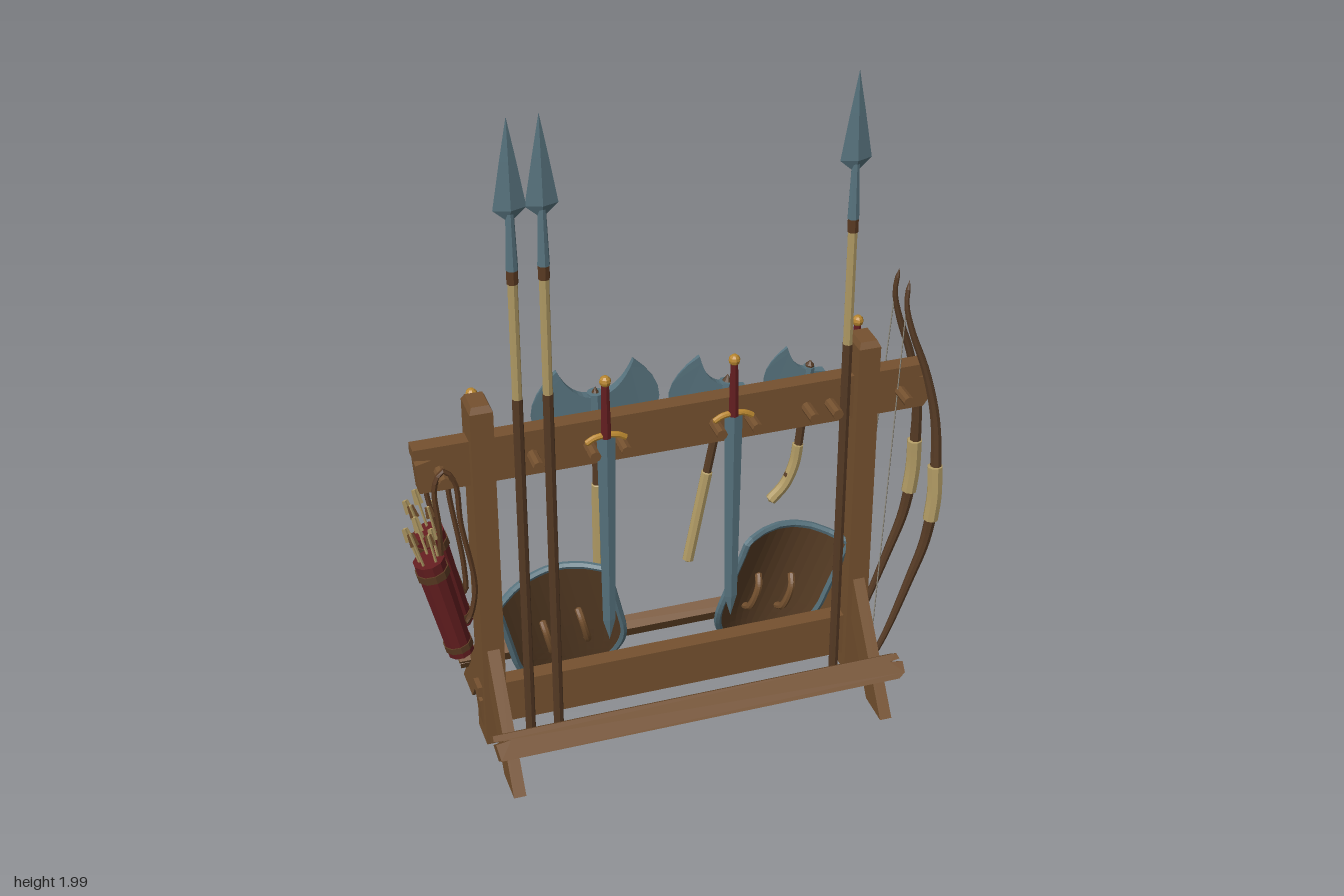
import * as THREE from 'three';
import { ParametricGeometry } from 'three/addons/geometries/ParametricGeometry.js';

const V = (x, y, z = 0) => new THREE.Vector3(x, y, z);
const mat = (color, side = THREE.FrontSide) => new THREE.MeshStandardMaterial({ color, flatShading: true, side });
const M = {
  wood: mat(0x75512f), darkWood: mat(0x553a24), cream: mat(0xb09a64), steel: mat(0x58747f),
  red: mat(0x641e20), gold: mat(0xb8862f), leather: mat(0x5a3a22), thin: mat(0x8a8578),
  shieldBack: mat(0x1f4150, THREE.DoubleSide), shieldIn: mat(0x5c4027, THREE.DoubleSide),
  stripe: mat(0x587480, THREE.DoubleSide),
};

function add(parent, name, geo, material, pos = [0, 0, 0]) {
  const m = new THREE.Mesh(geo, material);
  m.name = name;
  m.position.set(...pos);
  parent.add(m);
  return m;
}
function sub(parent, name, x = 0, y = 0, z = 0) {
  const g = new THREE.Group();
  g.name = name;
  g.position.set(x, y, z);
  parent.add(g);
  return g;
}

// Straight rod between two points
function rod(parent, name, a, b, r0, r1, material, sides = 8) {
  const m = add(parent, name, new THREE.CylinderGeometry(r1, r0, a.distanceTo(b), sides), material);
  m.position.copy(a).add(b).multiplyScalar(0.5);
  m.quaternion.setFromUnitVectors(V(0, 1, 0), b.clone().sub(a).normalize());
  return m;
}

// Curved rod with closed ends and optional taper along its length
function bent(parent, name, pts, r, material, taper = () => 1, seg = 28, sides = 8) {
  const curve = new THREE.CatmullRomCurve3(pts);
  const geo = new THREE.TubeGeometry(curve, seg, r, sides);
  const p = geo.attributes.position, v = V(0, 0, 0);
  for (let i = 0; i < p.count; i++) {
    const ring = Math.floor(i / (sides + 1)), c = curve.getPointAt(ring / seg);
    const k = ring === 0 || ring === seg ? 0 : taper(ring / seg);
    v.fromBufferAttribute(p, i).sub(c).multiplyScalar(k).add(c);
    p.setXYZ(i, v.x, v.y, v.z);
  }
  return add(parent, name, geo, material);
}

// Long plank with splintered ends
function plank(parent, name, x0, x1, h, d, pos) {
  const s = new THREE.Shape(), t = h / 2;
  [[x0 + 0.012, -t], [x1 - 0.02, -t], [x1, -t * 0.6], [x1, t * 0.3], [x1 - 0.04, t * 0.42], [x1 - 0.008, t * 0.55],
    [x1 - 0.015, t], [x0, t], [x0, t * 0.55], [x0 + 0.05, t * 0.45], [x0 + 0.005, t * 0.3]]
    .forEach(([x, y], i) => (i ? s.lineTo(x, y) : s.moveTo(x, y)));
  const geo = new THREE.ExtrudeGeometry(s, { depth: d, bevelEnabled: false });
  geo.translate(0, 0, -d / 2);
  return add(parent, name, geo, M.wood, pos);
}

// Four-sided blade with a diamond cross-section
function blade(parent, name, pts, flat) {
  const geo = new THREE.LatheGeometry(pts.map(p => new THREE.Vector2(...p)), 4);
  geo.scale(1, 1, flat);
  return add(parent, name, geo, M.steel);
}

function spear(parent, x) {
  const g = sub(parent, 'spear', x, 0, 0.037);
  rod(g, 'lowerShaft', V(0, 0.03), V(0, 1.18), 0.015, 0.015, M.darkWood);
  rod(g, 'upperShaft', V(0, 1.18), V(0, 1.54), 0.014, 0.014, M.cream);
  rod(g, 'binding', V(0, 1.53), V(0, 1.57), 0.016, 0.016, M.leather);
  rod(g, 'socket', V(0, 1.57), V(0, 1.74), 0.017, 0.011, M.steel);
  blade(g, 'spearHead', [[0, 1.71], [0.012, 1.715], [0.045, 1.745], [0.022, 1.88], [0, 2]], 0.35);
}

// Hanging sword: origin at the guard, blade pointing down
function sword(parent, name, x, y, z, len) {
  const g = sub(parent, name, x, y, z);
  blade(g, 'blade', [[0, -len], [0.019, -len + 0.07], [0.027, 0], [0, 0]], 0.3);
  bent(g, 'guard', [V(-0.06, -0.012), V(-0.03, 0.004), V(0.03, 0.004), V(0.06, -0.012)], 0.009, M.gold);
  rod(g, 'grip', V(0, 0), V(0, 0.165), 0.015, 0.011, M.red);
  add(g, 'pommel', new THREE.SphereGeometry(0.017, 8, 6), M.gold, [0, 0.178, 0]);
}

// Fan-shaped axe blade thinning to its edge; dir chooses the side
function axeBlade(parent, dir) {
  const s = new THREE.Shape();
  s.moveTo(0.005, 0.035);
  s.quadraticCurveTo(0.07, 0.035, 0.11, 0.13);
  s.quadraticCurveTo(0.26, 0, 0.11, -0.13);
  s.quadraticCurveTo(0.07, -0.035, 0.005, -0.035);
  const geo = new THREE.ExtrudeGeometry(s, { depth: 0.036, bevelEnabled: false, curveSegments: 8 });
  geo.translate(0, 0, -0.018);
  const p = geo.attributes.position;
  for (let i = 0; i < p.count; i++) p.setZ(i, p.getZ(i) * (1 - 0.9 * Math.min(1, p.getX(i) / 0.17)));
  const m = add(parent, 'axeBlade', geo, M.steel);
  if (dir < 0) m.rotation.y = Math.PI;
}

function axe(parent, x, y, tilt, size, double, path, grip) {
  const g = sub(parent, 'axe', x, y, -0.055);
  g.rotation.z = tilt;
  const head = sub(g, 'axeHead');
  head.scale.setScalar(size);
  axeBlade(head, -1);
  if (double) axeBlade(head, 1);
  else add(head, 'poll', new THREE.BoxGeometry(0.06, 0.055, 0.034), M.steel, [0.035, 0, 0]);
  add(head, 'eye', new THREE.CylinderGeometry(0.024, 0.024, 0.085, 8), M.steel);
  bent(g, 'handle', path, 0.013, M.darkWood);
  bent(g, 'handleGrip', grip, 0.017, M.cream);
}

// Curved shield: u runs -1..1 across, v runs 0..1 from the tip to the top
function shieldPoint(u, v, off, target) {
  const x = u * 0.165 * Math.pow(Math.sin(Math.min(1, v / 0.5) * Math.PI / 2), 0.8);
  return target.set(x, -0.26 + 0.52 * v - 0.02 * v * u * u, -0.03 + 0.06 * (x / 0.165) ** 2 + off);
}
function shield(parent, x, tilt, cross) {
  const g = sub(parent, 'shield', x, 0.3, -0.055);
  g.rotation.set(0.2, 0, tilt);
  const patch = (name, u0, u1, v0, v1, off, material) => add(g, name, new ParametricGeometry(
    (a, b, t) => shieldPoint(u0 + (u1 - u0) * a, v0 + (v1 - v0) * b, off, t), 12, 16), material);
  patch('shieldInside', -1, 1, 0, 1, 0.007, M.shieldIn);
  patch('shieldFace', -1, 1, 0, 1, -0.007, M.shieldBack);
  if (cross) {
    patch('crossUpright', -0.07, 0.07, 0.02, 1, -0.011, M.stripe);
    patch('crossBar', -1, 1, 0.57, 0.62, -0.011, M.stripe);
  }
  const edge = [];
  for (let i = 0; i <= 12; i++) edge.push(shieldPoint(-1, i / 12, 0, V(0, 0)));
  for (let i = 1; i < 6; i++) edge.push(shieldPoint(-1 + i / 3, 1, 0, V(0, 0)));
  for (let i = 12; i > 0; i--) edge.push(shieldPoint(1, i / 12, 0, V(0, 0)));
  add(g, 'shieldRim', new THREE.TubeGeometry(new THREE.CatmullRomCurve3(edge, true, 'catmullrom', 0.2), 80, 0.011, 6, true), M.steel);
  for (const s of [-0.055, 0.055])
    bent(g, 'armStrap', [V(s, -0.07, -0.02), V(s, -0.04, 0.012), V(s, 0.04, 0.012), V(s, 0.07, -0.02)], 0.011, M.wood);
}

function bow(parent, z) {
  const g = sub(parent, 'bow');
  const pts = [[0.57, 0.01], [0.585, 0.07], [0.635, 0.18], [0.7, 0.36], [0.745, 0.5], [0.764, 0.66],
    [0.764, 0.88], [0.735, 1.04], [0.69, 1.18], [0.675, 1.26], [0.685, 1.33]].map(([x, y]) => V(x, y, z(y)));
  bent(g, 'bowLimbs', pts, 0.019, M.darkWood, t => 1 - 0.65 * Math.abs(2 * t - 1), 48);
  bent(g, 'bowGrip', [0.56, 0.65, 0.75].map(y => V(y < 0.6 ? 0.756 : 0.765, y, z(y))), 0.023, M.cream);
  rod(g, 'bowString', V(0.585, 0.07, z(0.07)), V(0.675, 1.26, z(1.26)), 0.002, 0.002, M.thin, 4);
}

function quiver(parent, dx, z) {
  const g = sub(parent, 'quiver', dx, 0, z);
  const bottom = V(-0.66, 0.405), top = V(-0.735, 0.735);
  const at = t => bottom.clone().lerp(top, t);
  rod(g, 'quiverBody', bottom, top, 0.038, 0.045, M.red, 10);
  rod(g, 'upperBand', at(0.84), at(0.91), 0.048, 0.048, M.leather, 10);
  rod(g, 'lowerBand', at(0.06), at(0.12), 0.042, 0.042, M.leather, 10);
  // Arrows fanned around the quiver mouth
  for (let i = 0; i < 5; i++) {
    const a = i * 2.4, ox = 0.026 * Math.cos(a), oz = 0.026 * Math.sin(a);
    const tip = at(1.3 + 0.035 * (i % 3)).add(V(ox * 1.3, 0, oz * 1.3));
    const base = at(0.95).add(V(ox, 0, oz));
    rod(g, 'arrow', base, tip, 0.004, 0.004, M.cream, 5);
    const f = base.clone().lerp(tip, 0.65);
    for (const turn of [0, Math.PI / 2]) {
      const m = rod(g, 'fletching', f, tip, 0.013, 0.009, i % 2 ? M.wood : M.cream, 4);
      m.scale.z = 0.15;
      m.rotateY(turn);
      if (turn) m.scale.set(0.15, 1, 1);
    }
  }
  const loop = [V(-0.68 - dx, 1.012), V(-0.705 - dx, 0.97), V(-0.7 - dx, 0.84), V(-0.695, 0.7),
    V(-0.64, 0.5), V(-0.61 - dx, 0.6), V(-0.64 - dx, 0.84), V(-0.65 - dx, 0.97)];
  const strap = new THREE.TubeGeometry(new THREE.CatmullRomCurve3(loop, true), 48, 0.008, 6, true);
  add(g, 'strap', strap, M.leather);
}

export function createModel() {
  const root = new THREE.Group();
  root.name = 'weaponRack';

  // Rack frame
  const frame = sub(root, 'frame');
  plank(frame, 'topBeam', -0.75, 0.76, 0.14, 0.05, [0, 0.99, -0.004]);
  plank(frame, 'lowerBeam', -0.61, 0.62, 0.14, 0.05, [0, 0.155, 0]);
  for (const x of [-0.563, 0.555]) {
    add(frame, 'post', new THREE.BoxGeometry(0.065, 1.125, 0.098), M.wood, [x, 0.595, 0]);
    add(frame, 'postTop', new THREE.CylinderGeometry(0.035, 0.046, 0.018, 4, 1).rotateY(Math.PI / 4).scale(1, 1, 1.5), M.wood, [x, 1.166, 0]);
    for (const s of [1, -1]) {
      // Diagonal foot, cut level with the ground
      const foot = new THREE.Shape([[0.3, 0.03], [0.19, 0.03], [0.02, 0.265], [0.02, 0.39], [0.045, 0.375]]
        .map(([z, y]) => new THREE.Vector2(z, y)));
      const geo = new THREE.ExtrudeGeometry(foot, { depth: 0.036, bevelEnabled: false });
      geo.translate(0, 0, -0.018).rotateY(-s * Math.PI / 2);
      add(frame, 'footBrace', geo, M.wood, [x, 0, 0]);
    }
  }
  for (const s of [1, -1]) {
    const rail = plank(frame, 'footRail', -0.615, 0.63, 0.075, 0.045, [0, 0.155, s * 0.22]);
    rail.rotation.x = -s * 0.65;
  }
  // Pegs through the top beam
  for (const x of [-0.68, -0.42, -0.26, -0.17, 0.105, 0.21, 0.38, 0.45, 0.665])
    rod(frame, 'peg', V(x, 0.985, -0.1), V(x, 0.985, 0.09), 0.016, 0.016, M.wood);

  // Weapons
  for (const x of [-0.46, -0.375, 0.49]) spear(root, x);
  sword(root, 'sword', -0.217, 1.015, 0.045, 0.69);
  sword(root, 'sword', 0.153, 1.015, 0.045, 0.69);
  sword(root, 'shortSword', 0.56, 1.01, -0.062, 0.34);
  sword(root, 'shortSword', -0.563, 0.98, -0.062, 0.34);
  axe(root, -0.217, 1.06, 0, 1, true, [V(0, 0.06), V(0, -0.2), V(0, -0.55)], [V(0, -0.25), V(0, -0.4), V(0, -0.56)]);
  axe(root, 0.16, 1.03, -0.19, 0.9, false, [V(0, 0.06), V(0, -0.2), V(0, -0.56)], [V(0, -0.25), V(0, -0.4), V(0, -0.57)]);
  axe(root, 0.41, 1.04, -0.15, 0.72, false,
    [V(0, 0.05), V(0.01, -0.15), V(0.012, -0.28), V(-0.005, -0.35)],
    [V(0.012, -0.22), V(0.012, -0.29), V(-0.005, -0.36), V(-0.045, -0.42)]);
  shield(root, -0.32, 0.24, true);
  shield(root, 0.312, -0.25, false);
  bow(root, y => 0.088 - 0.088 * Math.max(0, (y - 0.6) / 0.73) ** 1.3);
  bow(root, () => -0.073);
  quiver(root, 0, 0.067);
  quiver(root, 0.03, -0.067);
  return root;
}
